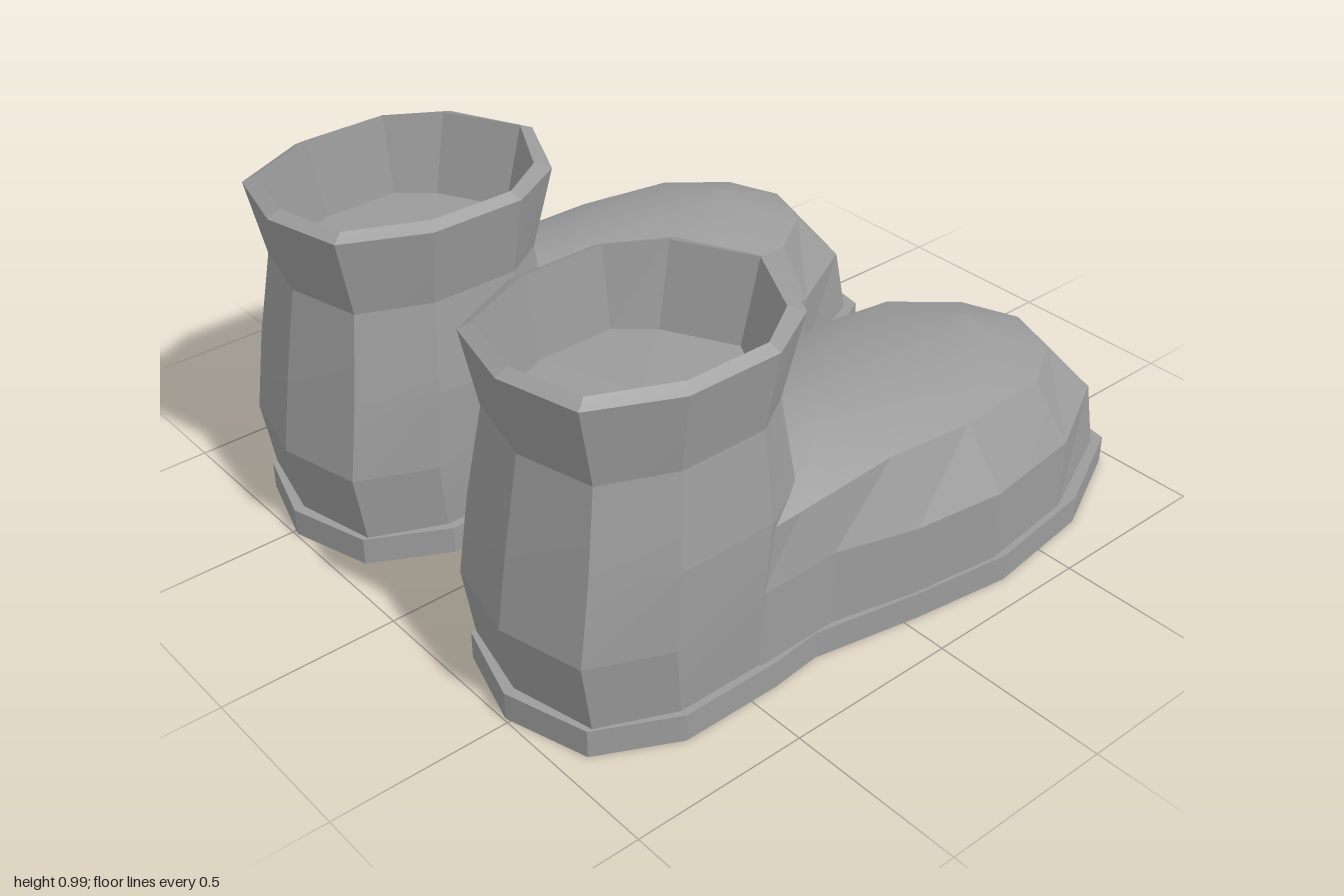
import * as THREE from 'three';
import { toCreasedNormals } from 'three/addons/utils/BufferGeometryUtils.js';

const material = new THREE.MeshStandardMaterial({ color: 0x9b9b9b, side: THREE.DoubleSide });
const CX = 0.485; // centre line of the shaft

// Skin a stack of rows of [x, y, z] points
function loft(rows, closed, crease) {
  const n = rows[0].length, index = [];
  for (let r = 0; r < rows.length - 1; r++) {
    for (let i = 0; i < (closed ? n : n - 1); i++) {
      const a = r * n + i, b = r * n + (i + 1) % n;
      index.push(a, b, b + n, a, b + n, a + n);
    }
  }
  const geometry = new THREE.BufferGeometry();
  geometry.setAttribute('position', new THREE.Float32BufferAttribute(rows.flat(2), 3));
  geometry.setIndex(index);
  return toCreasedNormals(geometry, crease);
}

// Mirrored rows run backwards so that the faces still point outwards
const place = (rows, side) => side > 0 ? rows
  : rows.map(row => row.map(([x, y, z]) => [-x, y, z]).reverse());

// Sole outline [x, z]
const soleOutline = [
  [0.5, -1], [0.73, -0.96], [0.87, -0.67], [0.915, -0.33], [0.875, -0.04], [0.815, 0.27],
  [0.83, 0.42], [0.83, 0.71], [0.72, 0.925], [0.485, 0.995], [0.25, 0.925], [0.135, 0.71],
  [0.14, 0.42], [0.175, 0.22], [0.15, -0.02], [0.1, -0.38], [0.13, -0.66], [0.275, -0.96],
];

// Shaft rings: height, then half-ring [dx, z] from the back round to the front
const shaftRings = [
  [0.08, [[0, 0.965], [0.235, 0.91], [0.325, 0.71], [0.325, 0.44], [0.26, 0.29], [0, 0.2]]],
  [0.28, [[0, 0.998], [0.24, 0.94], [0.335, 0.73], [0.335, 0.46], [0.26, 0.29], [0, 0.17]]],
  [0.5, [[0, 0.965], [0.235, 0.908], [0.33, 0.71], [0.33, 0.43], [0.25, 0.28], [0, 0.14]]],
  [0.75, [[0, 0.92], [0.212, 0.868], [0.295, 0.68], [0.295, 0.43], [0.22, 0.31], [0, 0.2]]],
  [0.97, [[0, 0.965], [0.225, 0.91], [0.33, 0.69], [0.33, 0.42], [0.235, 0.25], [0, 0.14]]],
  [0.988, [[0, 0.93], [0.205, 0.88], [0.3, 0.67], [0.3, 0.43], [0.21, 0.29], [0, 0.18]]],
  [0.76, [[0, 0.87], [0.19, 0.825], [0.27, 0.65], [0.27, 0.43], [0.19, 0.34], [0, 0.24]]],
  [0.76, [[0, 0.55], [0, 0.55], [0, 0.55], [0, 0.55], [0, 0.55], [0, 0.55]]], // closes the floor
];

// Foot rows run along the outer side, round the toe and back along the inner side
const wall = [
  [0.815, 0.46], [0.81, 0.21], [0.865, -0.03], [0.9, -0.3], [0.86, -0.61], [0.72, -0.875], [0.5, -0.92],
  [0.29, -0.875], [0.15, -0.61], [0.117, -0.36], [0.165, -0.03], [0.185, 0.21], [0.16, 0.46],
];
const shoulder = [
  [0.805, 0.475, 0.43], [0.785, 0.46, 0.31], [0.785, 0.48, 0], [0.8, 0.468, -0.27], [0.77, 0.455, -0.57],
  [0.66, 0.44, -0.75], [0.5, 0.44, -0.81], [0.34, 0.44, -0.75], [0.215, 0.455, -0.57],
  [0.195, 0.468, -0.32], [0.235, 0.48, 0], [0.225, 0.46, 0.28], [0.17, 0.475, 0.43],
];
// Crown of the foot: half-width, height, z from the shaft to the toe
const crown = [
  [0.16, 0.565, 0.35], [0.17, 0.55, 0.14], [0.17, 0.532, 0], [0.18, 0.515, -0.28],
  [0.16, 0.5, -0.5], [0.1, 0.5, -0.6], [0, 0.508, -0.63],
];

function crownRow(widthScale, rise) {
  const half = side => crown.map(([w, y, z]) => [0.5 + side * w * widthScale, y + (w ? rise : 0), z]);
  return [...half(1), ...half(-1).reverse().slice(1)];
}

function createBoot(side) {
  const boot = new THREE.Group();
  boot.name = side > 0 ? 'leftBoot' : 'rightBoot';
  const add = (name, geometry) => {
    const mesh = new THREE.Mesh(geometry, material);
    mesh.name = name;
    boot.add(mesh);
  };

  // Flat sole
  const shape = new THREE.Shape(soleOutline.map(([x, z]) => new THREE.Vector2(side * x, -z)));
  const sole = new THREE.ExtrudeGeometry(shape, { depth: 0.08, bevelEnabled: false });
  sole.rotateX(-Math.PI / 2);
  add('sole', sole);

  // Faceted shaft with flared cuff, rim and inner lining
  const shaft = shaftRings.map(([y, half]) => [
    ...half.map(([dx, z]) => [CX + dx, y, z]),
    ...half.slice(1, -1).reverse().map(([dx, z]) => [CX - dx, y, z]),
  ]);
  add('shaft', loft(place(shaft, side), true, 0.1));

  // Faceted foot wall with toe
  const base = wall.map(([x, z]) => [x, 0.08, z < -0.8 ? z - 0.045 : z]);
  const middle = wall.map(([x, z]) => [x, z > 0.1 ? 0.3 : 0.287, z]);
  add('footWall', loft(place([base, middle, shoulder], side), false, 0.1));

  // Smooth top of the foot
  add('footTop', loft(place([shoulder, crownRow(1, 0), crownRow(0, 0.02)], side), false, 1));
  return boot;
}

export function createModel() {
  const model = new THREE.Group();
  model.name = 'bootPair';
  model.add(createBoot(1), createBoot(-1));
  return model;
}
